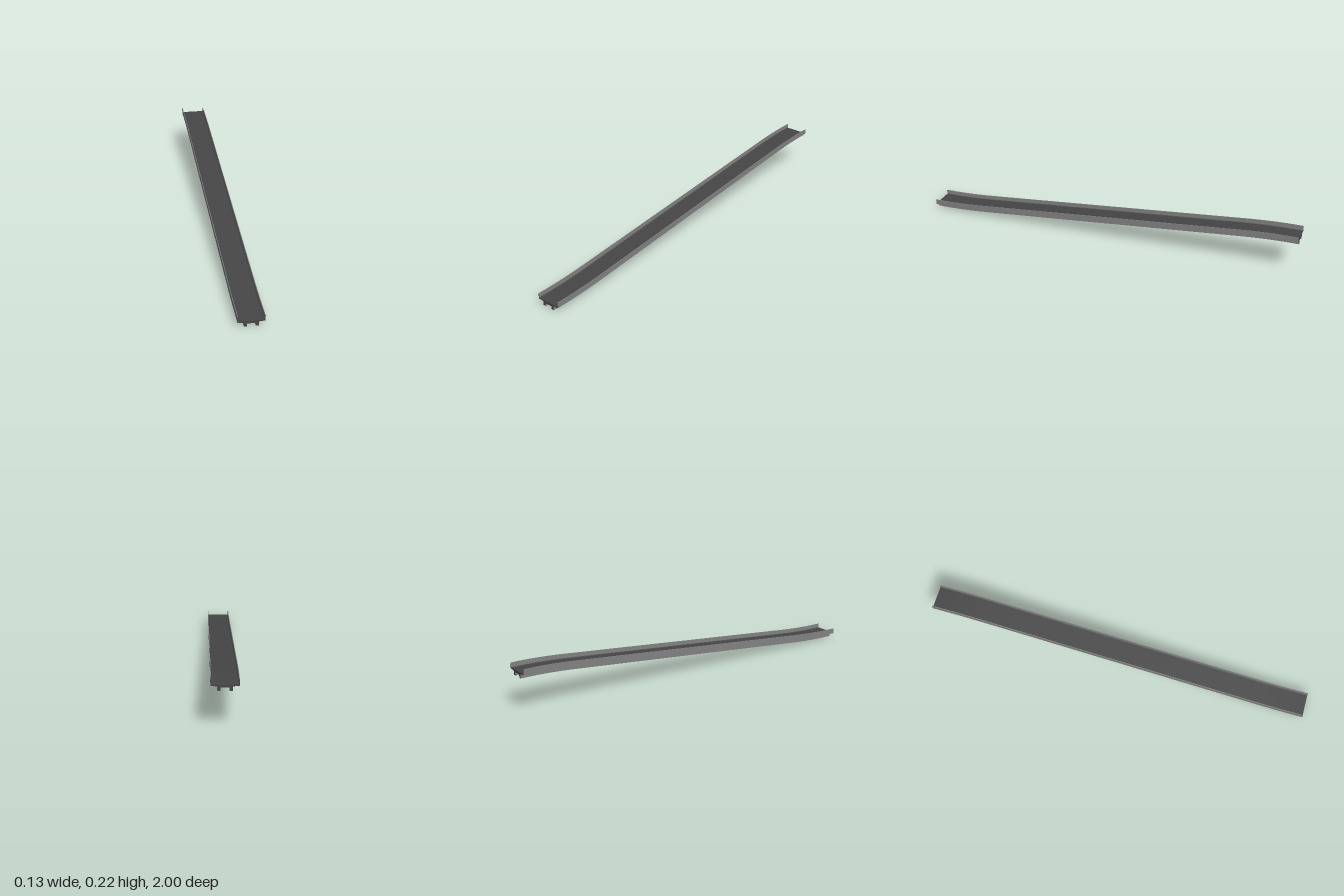
import * as THREE from 'three';

const LENGTH = 2, STEPS = 40, SLOPE = 0.1, EASE = 0.28;

// Height of the ramp along z: level at both ends, straight between.
function rise(z) {
  const total = SLOPE * (LENGTH - EASE);
  const d = 1 - z;
  const ease = (t) => (SLOPE * t * t) / (2 * EASE);
  if (d < EASE) return ease(d);
  if (d > LENGTH - EASE) return total - ease(LENGTH - d);
  return SLOPE * (d - EASE / 2);
}

// Lifts every vertex onto the ramp curve.
function bend(geometry) {
  const p = geometry.attributes.position;
  for (let i = 0; i < p.count; i++) p.setY(i, p.getY(i) + rise(p.getZ(i)));
  geometry.computeVertexNormals();
  return geometry;
}

export function createModel() {
  const group = new THREE.Group();
  const dark = new THREE.MeshStandardMaterial({ color: 0x464646 });
  dark.name = 'dark grey';
  const light = new THREE.MeshStandardMaterial({ color: 0x838383 });
  light.name = 'mid grey';

  const add = (name, geometry, material) => {
    const mesh = new THREE.Mesh(bend(geometry), material);
    mesh.name = name;
    group.add(mesh);
  };

  // Long bar with dark ends, running the whole length.
  const bar = (name, x0, x1, y0, y1) => {
    const g = new THREE.BoxGeometry(x1 - x0, y1 - y0, LENGTH, 1, 1, STEPS);
    g.translate((x0 + x1) / 2, (y0 + y1) / 2, 0);
    add(name, g, [light, light, light, light, dark, dark]);
  };

  // Symmetric section, given by its left half from bottom to top, with dark ends.
  const slab = (name, half, sideMaterial) => {
    const mirrored = half.map(([x, y]) => [-x, y]).reverse();
    const section = new THREE.Shape([...half, ...mirrored].map(([x, y]) => new THREE.Vector2(x, y)));
    const g = new THREE.ExtrudeGeometry(section, { depth: LENGTH, steps: STEPS, bevelEnabled: false });
    g.translate(0, 0, -LENGTH / 2);
    add(name, g, [dark, sideMaterial]);
  };

  // Deck: dark running surface with small corner fillets, lighter underside
  slab('deckTop', [[0.06, 0.024], [0.06, 0.031], [0.0575, 0.0283]], dark);
  slab('deckUnderside', [
    [0.0195, 0.0155], [0.0195, 0.021], [0.034, 0.021], [0.06, 0.0238], [0.06, 0.024],
  ], light);

  // Side rails and the ribs under the deck
  bar('leftRail', 0.06, 0.063, 0.0238, 0.052);
  bar('rightRail', -0.063, -0.06, 0.0238, 0.052);
  bar('leftRib', 0.0195, 0.0335, 0, 0.0212);
  bar('rightRib', -0.0335, -0.0195, 0, 0.0212);

  return group;
}
